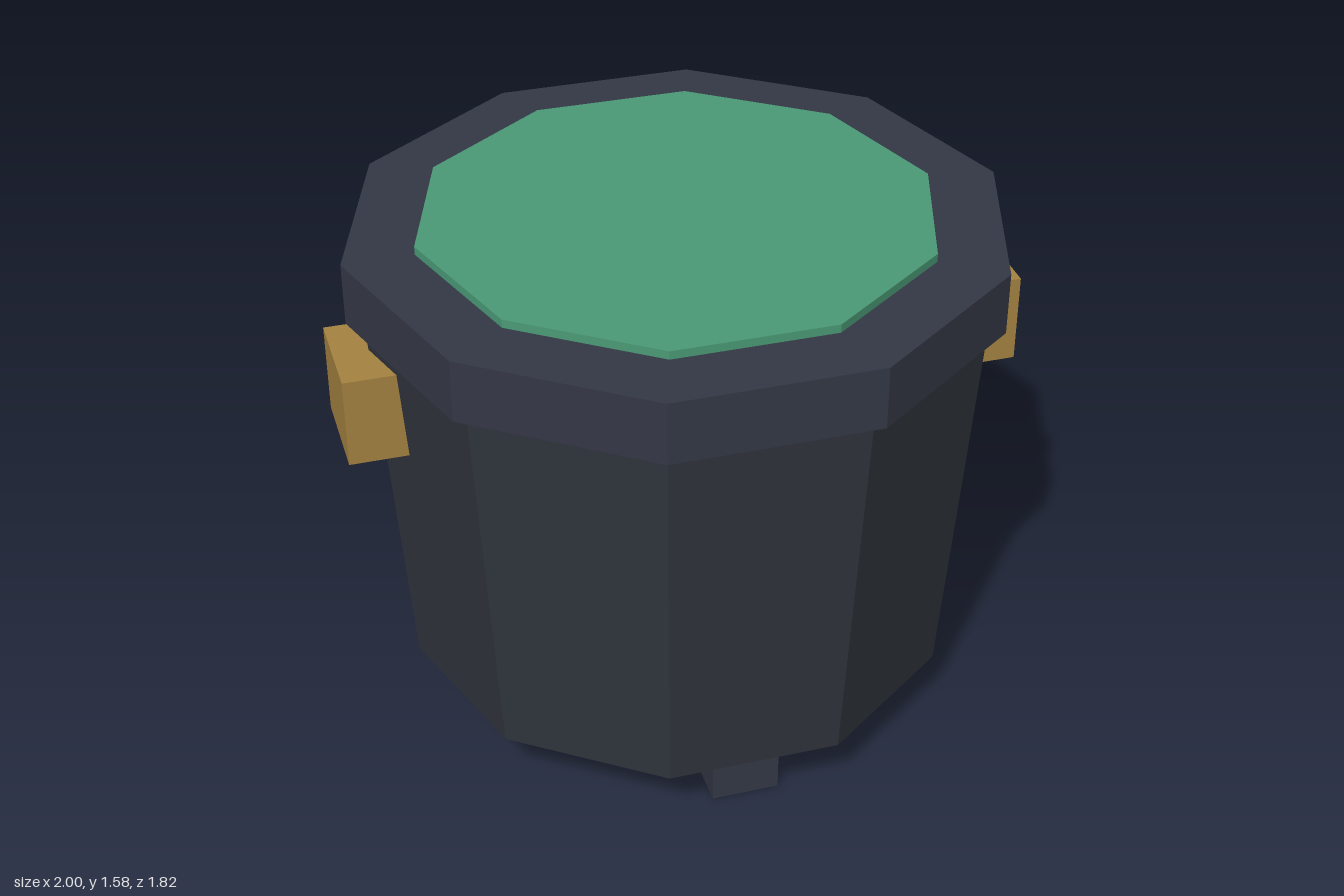
import * as THREE from 'three';

const SIDES = 10;
const mat = (color) => new THREE.MeshStandardMaterial({ color, flatShading: true });

export function createModel() {
  const group = new THREE.Group();
  const bodyMat = mat(0x30353d);
  const trimMat = mat(0x343846);
  const brassMat = mat(0xa68341);
  const liquidMat = mat(0x4a9a76);

  const add = (name, geometry, material, x, y, z) => {
    const mesh = new THREE.Mesh(geometry, material);
    mesh.name = name;
    mesh.position.set(x, y, z);
    group.add(mesh);
  };

  // Ten-sided drum between two heights, with a corner on the x axis
  const drum = (name, material, rTop, rBottom, y0, y1) => add(
    name,
    new THREE.CylinderGeometry(rTop, rBottom, y1 - y0, SIDES, 1, false, Math.PI / 2),
    material, 0, (y0 + y1) / 2, 0);

  drum('body', bodyMat, 0.909, 0.82, 0.185, 1.42);
  drum('rim', trimMat, 0.955, 0.955, 1.365, 1.55);
  drum('liquid', liquidMat, 0.75, 0.75, 1.5, 1.575);

  // Side handles, sunk into the wall
  for (const side of [1, -1]) {
    add(side > 0 ? 'leftHandle' : 'rightHandle',
      new THREE.BoxGeometry(0.24, 0.27, 0.305), brassMat, side * 0.88, 1.135, 0);
  }

  // Three feet; the outer corners of the rear pair poke through the wall
  const feet = [['frontFoot', 0, 0.585], ['backLeftFoot', 0.51, -0.428], ['backRightFoot', -0.51, -0.428]];
  for (const [name, x, z] of feet) {
    add(name, new THREE.BoxGeometry(0.2, 0.38, 0.235), trimMat, x, 0.19, z);
  }

  return group;
}
